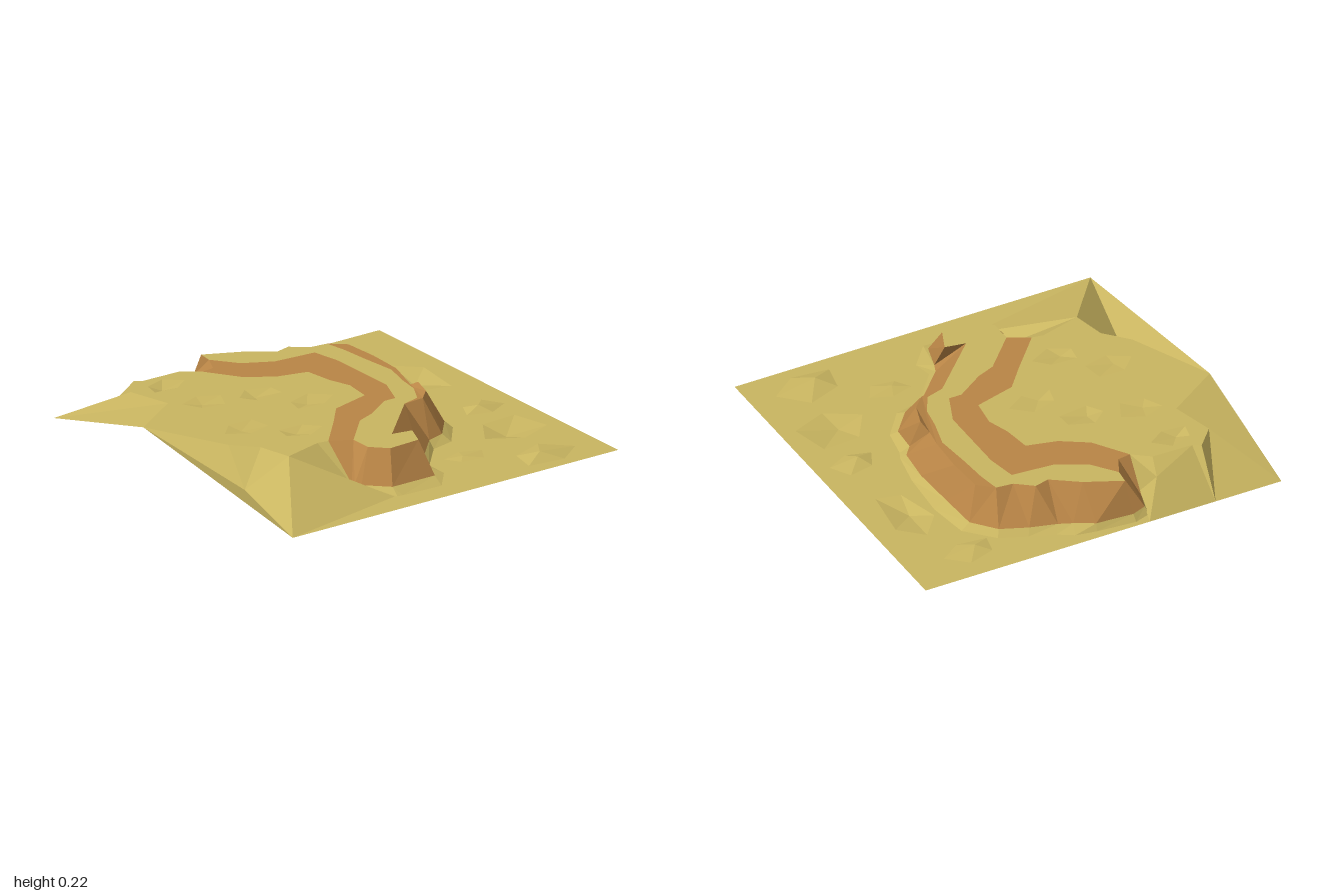
import * as THREE from 'three';

const LOW = 0.03, FOOT = 0.06, TOP = 0.22;
const sand = new THREE.MeshStandardMaterial({ color: 0xc9b560, flatShading: true, side: THREE.DoubleSide });
const rock = new THREE.MeshStandardMaterial({ color: 0xb98546, flatShading: true, side: THREE.DoubleSide });

const v = (x, y, z) => new THREE.Vector3(x, y, z);
const level = (pairs, y) => pairs.map(([x, z]) => v(x, y, z));

// mesh from loose triangles, each turned to face upwards
function surface(name, material, tris) {
  const pos = [];
  for (const [a, b, c] of tris) {
    const up = (b.z - a.z) * (c.x - a.x) - (b.x - a.x) * (c.z - a.z) > 0;
    for (const p of up ? [a, b, c] : [a, c, b]) pos.push(p.x, p.y, p.z);
  }
  const geo = new THREE.BufferGeometry();
  geo.setAttribute('position', new THREE.Float32BufferAttribute(pos, 3));
  geo.computeVertexNormals();
  const mesh = new THREE.Mesh(geo, material);
  mesh.name = name;
  return mesh;
}

// fill an outline, with each dent cut out and replaced by a shallow fan
function fill(outline, dents = []) {
  const flat = (ring) => ring.map((p) => new THREE.Vector2(p.x, p.z));
  const all = [...outline, ...dents.flatMap((d) => d.ring)];
  const tris = THREE.ShapeUtils.triangulateShape(flat(outline), dents.map((d) => flat(d.ring)))
    .map((f) => f.map((i) => all[i]));
  for (const { ring, apex } of dents) {
    ring.forEach((p, i) => tris.push([p, ring[(i + 1) % ring.length], apex]));
  }
  return tris;
}

// uneven five-sided dent or mound
function dent(x, z, rx, rz, base, peak, turn = 0) {
  const ring = [];
  for (let i = 0; i < 5; i++) {
    const a = turn + (i / 5) * Math.PI * 2;
    const k = i % 2 ? 0.8 : 1;
    ring.push(v(x + Math.cos(a) * rx * k, base, z + Math.sin(a) * rz * k));
  }
  return { ring, apex: v(x - rx * 0.2, peak, z + rz * 0.1) };
}

// strip between two lines with the same number of points
function strip(a, b) {
  const tris = [];
  for (let i = 0; i + 1 < a.length; i++) {
    tris.push([a[i], b[i], b[i + 1]], [a[i], b[i + 1], a[i + 1]]);
  }
  return tris;
}

export function createModel() {
  const group = new THREE.Group();
  group.name = 'desertPlateau';

  // cliff, each row: top x z, bottom x z, apron x z
  const rows = [
    [-0.32, -0.68, -0.32, -0.78, -0.33, -0.85], [-0.25, -0.69, -0.31, -0.82, -0.32, -0.9],
    [-0.2, -0.79, -0.28, -0.91, -0.29, -0.94], [-0.19, -0.87, -0.2, -0.94, -0.2, -0.97],
    [0, -0.78, 0, -0.925, 0.01, -0.95], [0.14, -0.68, 0.1, -0.87, 0.12, -0.93],
    [0.22, -0.7, 0.17, -0.84, 0.2, -0.88], [0.31, -0.63, 0.31, -0.8, 0.33, -0.83],
    [0.4, -0.62, 0.45, -0.74, 0.47, -0.77], [0.48, -0.55, 0.55, -0.62, 0.6, -0.63],
    [0.49, -0.35, 0.56, -0.4, 0.63, -0.4], [0.48, -0.15, 0.57, -0.15, 0.61, -0.13],
    [0.44, 0, 0.55, 0.04, 0.57, 0.07], [0.46, 0.06, 0.5, 0.1, 0.55, 0.11],
    [0.42, 0.18, 0.49, 0.24, 0.52, 0.27], [0.35, 0.25, 0.38, 0.37, 0.4, 0.42],
    [0.23, 0.26, 0.28, 0.4, 0.27, 0.45], [-0.06, 0.55, 0.08, 0.61, 0.1, 0.64],
    [0.05, 0.57, 0.06, 0.66, 0.12, 0.74], [0, 0.69, 0.02, 0.8, 0.01, 0.87],
    [-0.18, 0.7, -0.24, 0.8, -0.22, 0.86], [-0.26, 0.62, -0.35, 0.69, -0.25, 0.855],
    [-0.26, 0.5, -0.37, 0.66, -0.26, 0.85], [-0.37, 0.44, -0.38, 0.65, -0.265, 0.85],
  ];
  const line = (k, y) => rows.map((r) => v(r[k], y, r[k + 1]));
  const top = line(0, TOP), bottom = line(2, FOOT), apron = line(4, LOW);
  top[12].y = 0.185;
  const last = rows.length - 1;

  group.add(surface('cliff', rock, strip(top, bottom)));
  group.add(surface('cliffApron', sand, strip(bottom, apron)));

  // rock band across the plateau
  const bandOuter = [...top.slice(0, 3), ...level([
    [-0.1, -0.66], [0.05, -0.58], [0.28, -0.56], [0.31, -0.4], [0.31, 0],
    [0.24, 0.17], [0.17, 0.17], [0.02, 0.27], [-0.08, 0.31],
  ], TOP), ...top.slice(last - 1)];
  const bandInner = [top[0], ...level([
    [-0.2, -0.5], [-0.06, -0.41], [0.1, -0.37], [0.12, -0.22], [0.16, -0.1],
    [0.14, 0.05], [-0.08, 0.11], [-0.19, 0.24],
  ], TOP), top[last]];
  group.add(surface('rockBand', rock, fill([...bandOuter, ...bandInner.slice(1, -1).reverse()])));

  // sand rim between band and cliff, with a rock shoulder on its right edge
  const shoulder = level([[0.42, -0.5], [0.43, -0.35], [0.45, -0.15], [0.41, 0], [0.39, 0.12], [0.33, 0.23]], TOP);
  const rim = [...top.slice(2, 9), ...shoulder, ...top.slice(16, last)];
  group.add(surface('sandRim', sand, fill([...rim, ...bandOuter.slice(3, -2).reverse()])));
  group.add(surface('rockShoulder', rock, fill([...top.slice(8, 17), ...[...shoulder].reverse()])));

  // sand plateau
  const [p8, p9, p10, p11, d, p1, p2, p3, p4, p5] = level([
    [-0.43, 0.43], [-0.65, 0.49], [-0.69, 0.31], [-0.8, 0.19], [-1, -0.25],
    [-0.71, -0.44], [-0.77, -0.67], [-0.67, -0.78], [-0.63, -0.755], [-0.41, -0.75],
  ], TOP);
  group.add(surface('plateau', sand, fill([...bandInner, p8, p9, p10, p11, d, p1, p2, p3, p4, p5], [
    dent(-0.58, -0.64, 0.12, 0.08, TOP, 0.2), dent(-0.55, -0.35, 0.12, 0.1, TOP, 0.21, 1),
    dent(-0.27, -0.28, 0.14, 0.08, TOP, 0.205, 2), dent(-0.6, 0.05, 0.13, 0.1, TOP, 0.21, 0.5),
    dent(-0.12, -0.05, 0.14, 0.09, TOP, 0.208), dent(-0.4, 0.24, 0.13, 0.08, TOP, 0.205, 1.5),
  ])));

  // slopes from the plateau to the left corners
  const a = v(-1, LOW, -1), b = v(-0.63, LOW, -1), c = v(-0.26, LOW, -1), e = v(-1, LOW, 1);
  const m = v(-0.38, 0.17, -0.85), g = v(-0.84, 0.05, 0.38);
  group.add(surface('backSlopes', sand, [
    [a, d, p1], [a, p1, p2], [a, p2, b], [b, p2, p3], [b, p3, p4], [b, p4, m], [p4, p5, m],
    [b, m, c], [m, p5, top[0]], [m, top[0], bottom[0]], [c, m, bottom[0]], [c, bottom[0], apron[0]],
  ]));
  group.add(surface('frontSlopes', sand, [
    [d, e, g], [d, g, p11], [g, p10, p11], [g, p9, p10], [g, e, p9], [e, p9, apron[last]],
    [p9, p8, bottom[last]], [p8, top[last], bottom[last]], [p9, bottom[last], apron[last]],
  ]));

  // low ground with pits and mounds
  const ground = [c, v(1, LOW, -1), v(1, LOW, 1), e, ...[...apron].reverse()];
  group.add(surface('ground', sand, fill(ground, [
    dent(0.74, 0.45, 0.19, 0.18, LOW, 0, 0.4), dent(0.77, -0.38, 0.12, 0.25, LOW, 0, 0.9),
    dent(0.67, 0.83, 0.19, 0.14, LOW, 0.06), dent(0.79, 0.14, 0.13, 0.1, LOW, 0.055, 0.2),
    dent(0.64, -0.8, 0.15, 0.1, LOW, 0.05), dent(0.34, 0.62, 0.12, 0.08, LOW, 0.04, 1),
  ])));

  return group;
}
